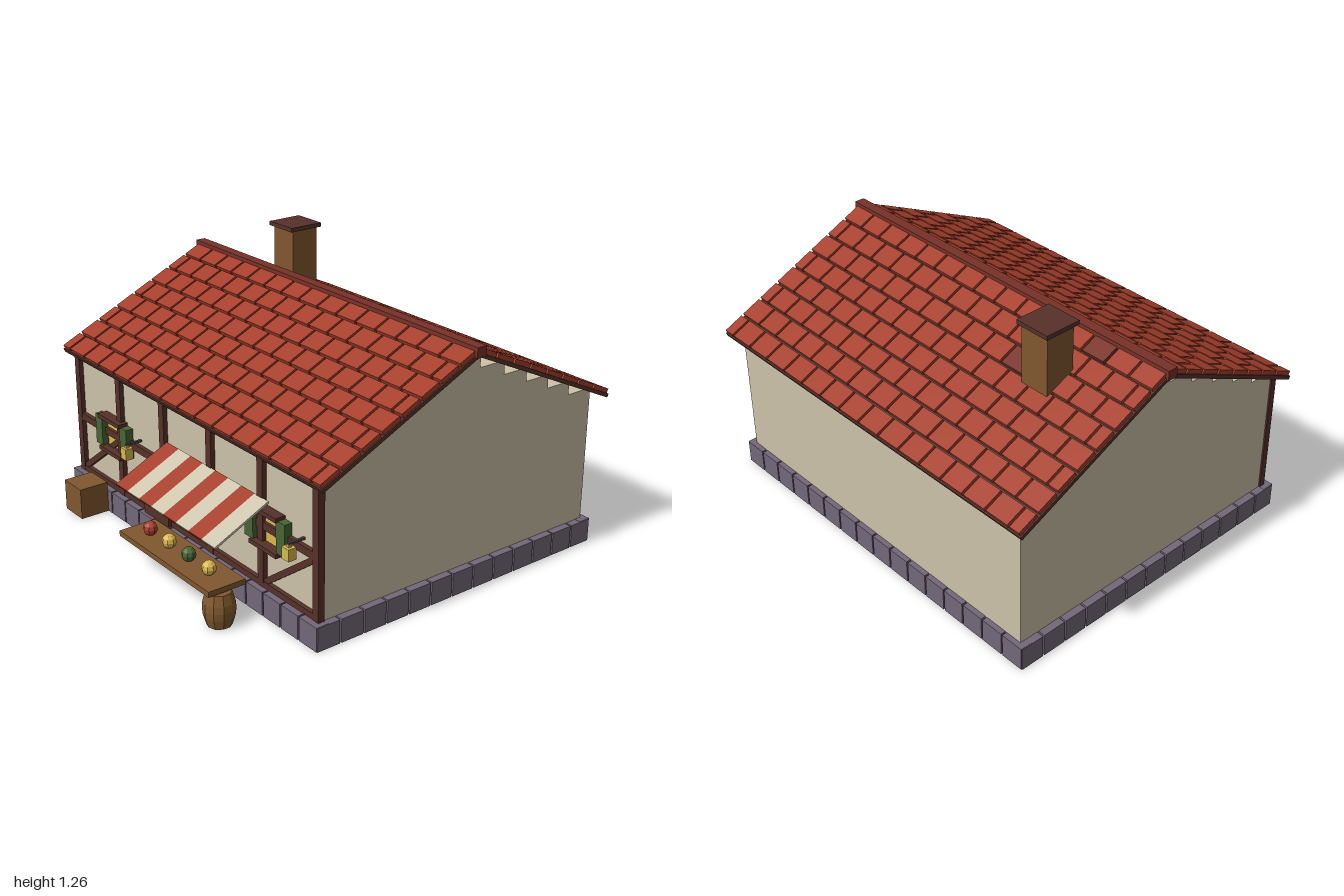
import * as THREE from 'three';
import { mergeGeometries } from 'three/addons/utils/BufferGeometryUtils.js';

const mat = (name, color) => {
  const m = new THREE.MeshStandardMaterial({ color, flatShading: true });
  m.name = name;
  return m;
};

export function createModel() {
  const M = {
    plaster: mat('plaster', 0xcdc2a9),
    stone: mat('stone', 0x73687a),
    timber: mat('darkTimber', 0x56322a),
    tile: mat('roofTile', 0xa63f2c),
    oldTile: mat('weatheredTile', 0x783228),
    wood: mat('wood', 0x80582f),
    gold: mat('gold', 0xd9b650),
    green: mat('green', 0x476534),
    cream: mat('creamCloth', 0xcfc6ae),
    iron: mat('iron', 0x4a4650),
  };
  const root = new THREE.Group();
  root.name = 'marketHouse';

  const add = (name, geo, material, parent = root) => {
    const m = new THREE.Mesh(geo, material);
    m.name = name;
    parent.add(m);
    return m;
  };
  // Box geometry given by its min and max on each axis
  const span = (x0, x1, y0, y1, z0, z1) =>
    new THREE.BoxGeometry(x1 - x0, y1 - y0, z1 - z0)
      .translate((x0 + x1) / 2, (y0 + y1) / 2, (z0 + z1) / 2);
  const box = (name, material, ...s) => add(name, span(...s), material);

  const RZ = -0.115; // ridge line

  // Plaster walls and stepped gables
  box('walls', M.plaster, -0.93, 0.93, 0.1, 0.745, -0.865, 0.64);
  [0.61, 0.475, 0.34, 0.205, 0.065].forEach((h, i) => {
    const y = 0.745 + i * 0.063;
    box('gableStep', M.plaster, -0.93, 0.93, y, y + 0.063, RZ - h, RZ + h);
  });

  // Foundation ring of stone blocks
  const blocks = [];
  const gap = 0.004, X = 0.965, Z0 = -0.89, Z1 = 0.69, D = 0.06;
  const nx = 16, nz = 13;
  for (let i = 0; i < nx; i++) {
    const a = -X + (i * 2 * X) / nx + gap, b = -X + ((i + 1) * 2 * X) / nx - gap;
    blocks.push(span(a, b, 0, 0.11, Z1 - D, Z1), span(a, b, 0, 0.11, Z0, Z0 + D));
  }
  for (let i = 0; i < nz; i++) {
    const s = (Z1 - Z0) / nz, a = Z0 + i * s + gap, b = Z0 + (i + 1) * s - gap;
    blocks.push(span(X - D, X, 0, 0.109, a, b), span(-X, -X + D, 0, 0.109, a, b));
  }
  add('foundation', mergeGeometries(blocks), M.stone);

  // Timber frame on the front
  const posts = [-0.918, -0.551, -0.184, 0.184, 0.551, 0.918];
  posts.forEach((x) => box('post', M.timber, x - 0.019, x + 0.019, 0.11, 0.715, 0.63, 0.662));
  [[0.11, 0.137], [0.378, 0.413], [0.687, 0.712]].forEach(([a, b]) =>
    box('rail', M.timber, -0.93, 0.93, a, b, 0.63, 0.66));
  for (const i of [0, 2, 4]) {
    const dx = posts[i + 1] - posts[i] - 0.03, dy = 0.25;
    const brace = add('brace', new THREE.BoxGeometry(Math.hypot(dx, dy), 0.028, 0.025), M.timber);
    brace.position.set((posts[i] + posts[i + 1]) / 2, 0.255, 0.645);
    brace.rotation.z = Math.atan2(dy, dx);
  }

  // Roof: two slopes with a dark deck and staggered tiles
  const slope = 0.433, rows = 8, rowLen = 0.111, tileW = 0.132, edge = 0.99;
  for (const s of [1, -1]) {
    const side = new THREE.Group();
    side.name = s > 0 ? 'frontRoof' : 'backRoof';
    side.position.set(0, 1.097, RZ);
    side.rotation.x = s * slope;
    root.add(side);
    const L = rows * rowLen;
    add('roofDeck', new THREE.BoxGeometry(1.98, 0.018, L).translate(0, -0.012, (s * L) / 2), M.timber, side);
    const tiles = [], old = [];
    for (let r = 0; r < rows; r++) {
      const shift = r % 2 ? tileW / 2 : 0;
      for (let k = 0; k < 16; k++) {
        const a = Math.max(-edge, -edge + k * tileW - shift);
        const b = Math.min(edge, -edge + (k + 1) * tileW - shift);
        if (b - a < 0.02) continue;
        const z = s * (r + 0.5) * rowLen;
        const g = new THREE.BoxGeometry(b - a - 0.012, 0.022, rowLen - 0.012).translate((a + b) / 2, 0.006, z);
        const worn = s < 0 && ((r === 0 && k === 2) || (r === 2 && k === 4));
        (worn ? old : tiles).push(g);
      }
    }
    add('tiles', mergeGeometries(tiles), M.tile, side);
    if (old.length) add('wornTiles', mergeGeometries(old), M.oldTile, side);
  }
  box('ridgeCap', M.oldTile, -1, 1, 1.075, 1.122, RZ - 0.025, RZ + 0.025);

  // Chimney
  box('chimney', M.wood, -0.635, -0.487, 0.93, 1.24, -0.447, -0.303);
  box('chimneyCap', M.timber, -0.65, -0.475, 1.24, 1.26, -0.464, -0.286);

  // Door, knob and doorstep
  box('door', M.timber, -0.332, -0.13, 0.11, 0.342, 0.63, 0.675);
  add('doorKnob', new THREE.SphereGeometry(0.011, 6, 5).translate(-0.158, 0.17, 0.682), M.gold);
  box('doorstep', M.stone, -0.375, -0.08, 0, 0.022, 0.64, 0.77);

  // Windows with sills and shutters
  for (const x of [-0.602, 0.602]) {
    box('windowPane', M.gold, x - 0.085, x + 0.085, 0.315, 0.475, 0.637, 0.646);
    for (const y of [0.304, 0.465])
      box('windowSill', M.timber, x - 0.093, x + 0.093, y, y + 0.02, 0.63, 0.69);
    for (const s of [-1, 1])
      box('shutter', M.green, x + s * 0.108 - 0.029, x + s * 0.108 + 0.029, 0.322, 0.47, 0.63, 0.678);
  }

  // Hanging lanterns
  for (const x of [-0.395, 0.82]) {
    box('lanternBracket', M.iron, x - 0.006, x + 0.006, 0.431, 0.441, 0.64, 0.722);
    box('lantern', M.gold, x - 0.022, x + 0.022, 0.368, 0.422, 0.697, 0.737);
    box('lanternTop', M.gold, x - 0.009, x + 0.009, 0.422, 0.433, 0.709, 0.725);
  }

  // Striped awning
  const awning = new THREE.Group();
  awning.name = 'awning';
  awning.position.set(0.232, 0.453, 0.79);
  awning.rotation.x = 0.441;
  root.add(awning);
  for (let i = 0; i < 8; i++)
    add('awningStripe', new THREE.BoxGeometry(0.094, 0.01, 0.294).translate((i - 3.5) * 0.094, 0, 0),
      i % 2 ? M.cream : M.tile, awning);

  // Market counter with round goods
  box('counter', M.wood, -0.112, 0.575, 0.16, 0.185, 0.755, 0.938);
  [M.tile, M.gold, M.green, M.gold].forEach((m, i) =>
    add('goods', new THREE.SphereGeometry(0.033, 8, 6).translate(-0.003 + i * 0.15, 0.212, 0.847), m));

  // Barrel and crate
  const profile = [[0, 0], [0.055, 0], [0.068, 0.045], [0.071, 0.077], [0.068, 0.109], [0.055, 0.154], [0, 0.154]];
  const barrel = add('barrel', new THREE.LatheGeometry(profile.map(([r, y]) => new THREE.Vector2(r, y)), 10), M.wood);
  barrel.position.set(0.54, 0, 0.864);
  box('crate', M.wood, -0.787, -0.64, 0, 0.15, 0.69, 0.835);

  return root;
}
